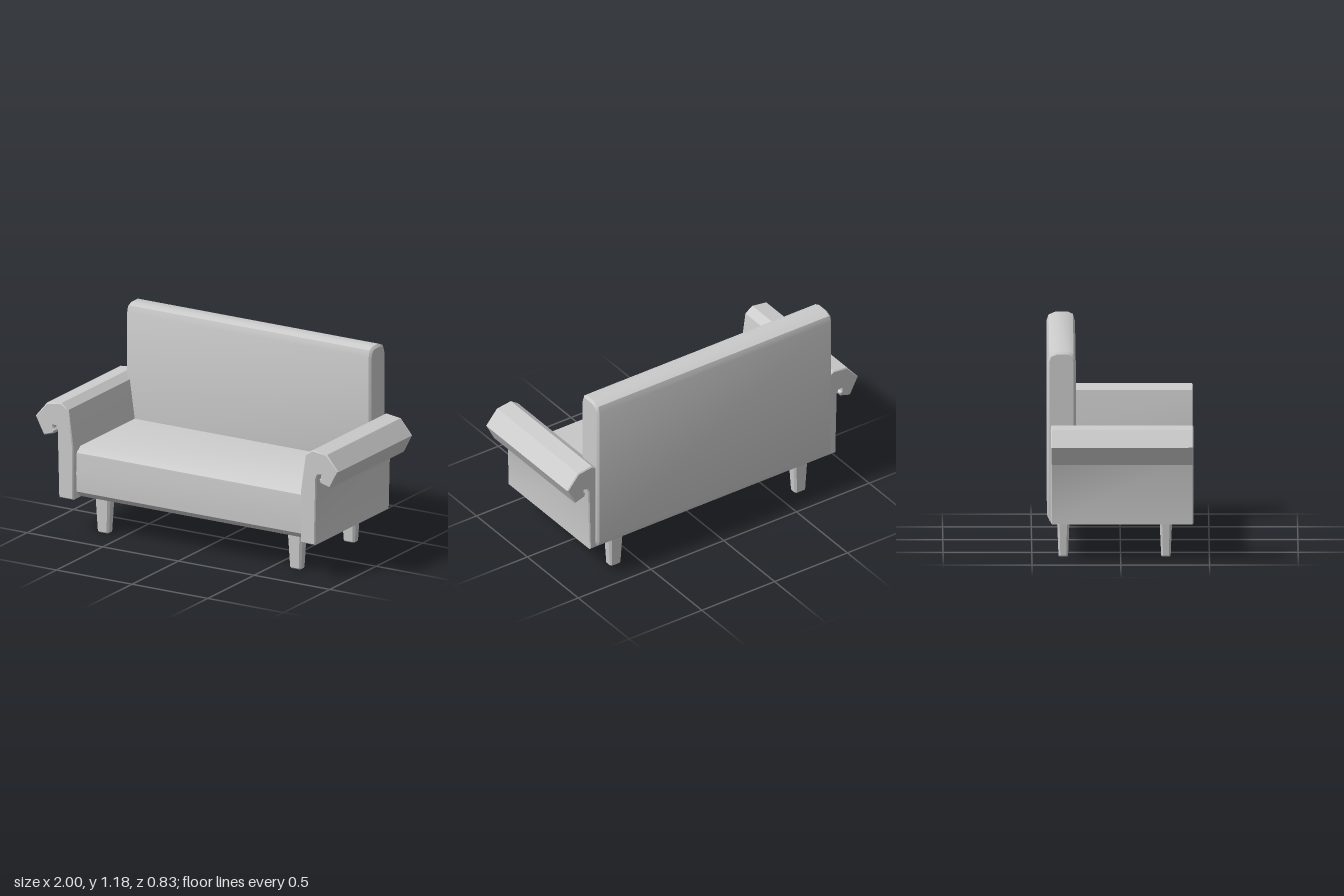
import * as THREE from 'three';
import { toCreasedNormals } from 'three/addons/utils/BufferGeometryUtils.js';

const material = new THREE.MeshStandardMaterial({ color: 0xcccccc });

// Extrudes an outline to a centred length, with chamfered ends kept inside the outline
function prism(points, length, bevel) {
  const shape = new THREE.Shape(points.map(([x, y]) => new THREE.Vector2(x, y)));
  const geometry = new THREE.ExtrudeGeometry(shape, {
    depth: length - 2 * bevel,
    bevelEnabled: true,
    bevelThickness: bevel,
    bevelSize: bevel,
    bevelOffset: -bevel,
    bevelSegments: 1,
  });
  return geometry.translate(0, 0, bevel - length / 2);
}

function addMesh(group, name, geometry, crease = 0.7) {
  const mesh = new THREE.Mesh(toCreasedNormals(geometry, crease), material);
  mesh.name = name;
  group.add(mesh);
  return mesh;
}

export function createModel() {
  const sofa = new THREE.Group();
  sofa.name = 'sofa';

  // Seat: side outline as (z, y), run across the width
  const seatOutline = [
    [-0.35, 0.215], [0.335, 0.215], [0.372, 0.25], [0.378, 0.36],
    [0.372, 0.48], [0.335, 0.51], [-0.35, 0.51], [-0.38, 0.48], [-0.38, 0.25],
  ];
  addMesh(sofa, 'seat', prism(seatOutline, 1.52, 0.008).rotateY(-Math.PI / 2));

  // Backrest: side outline as (z, y), rounded at the top
  const backOutline = [
    [-0.265, 0.22], [-0.40, 0.22], [-0.415, 0.255], [-0.415, 1.13],
    [-0.402, 1.167], [-0.36, 1.184], [-0.295, 1.184], [-0.265, 1.17],
    [-0.253, 1.13], [-0.253, 0.255],
  ].reverse();
  addMesh(sofa, 'backrest', prism(backOutline, 1.615, 0.013).rotateY(-Math.PI / 2));

  // Arms: front outline as (x, y) with the top rolled outwards
  const armOutline = [
    [0.75, 0.21], [0.845, 0.21], [0.855, 0.605], [0.865, 0.628], [0.885, 0.63],
    [0.885, 0.612], [0.873, 0.602], [0.88, 0.583], [0.945, 0.563], [1.0, 0.668],
    [0.925, 0.757], [0.83, 0.77], [0.782, 0.737], [0.75, 0.51],
  ];
  for (const [name, side] of [['leftArm', 1], ['rightArm', -1]]) {
    const outline = armOutline.map(([x, y]) => [side * x, y]);
    addMesh(sofa, name, prism(outline, 0.805, 0.006).translate(0, 0, 0.0085));
  }

  // Legs: chamfered rectangles that taper towards the floor
  const w = 0.05, d = 0.036, c = 0.014;
  const legOutline = [
    [-w + c, -d], [w - c, -d], [w, -d + c], [w, d - c],
    [w - c, d], [-w + c, d], [-w, d - c], [-w, -d + c],
  ];
  const legHeight = 0.225;
  const legGeometry = prism(legOutline, legHeight, 0.006)
    .rotateX(-Math.PI / 2)
    .translate(0, legHeight / 2, 0);
  const position = legGeometry.attributes.position;
  for (let i = 0; i < position.count; i++) {
    const taper = 0.74 + 0.26 * position.getY(i) / legHeight;
    position.setX(i, position.getX(i) * taper);
    position.setZ(i, position.getZ(i) * taper);
  }
  for (const [row, z] of [['front', 0.255], ['back', -0.323]]) {
    for (const [side, x] of [['Left', 0.635], ['Right', -0.635]]) {
      addMesh(sofa, `${row}${side}Leg`, legGeometry, 0.6).position.set(x, 0, z);
    }
  }

  return sofa;
}
